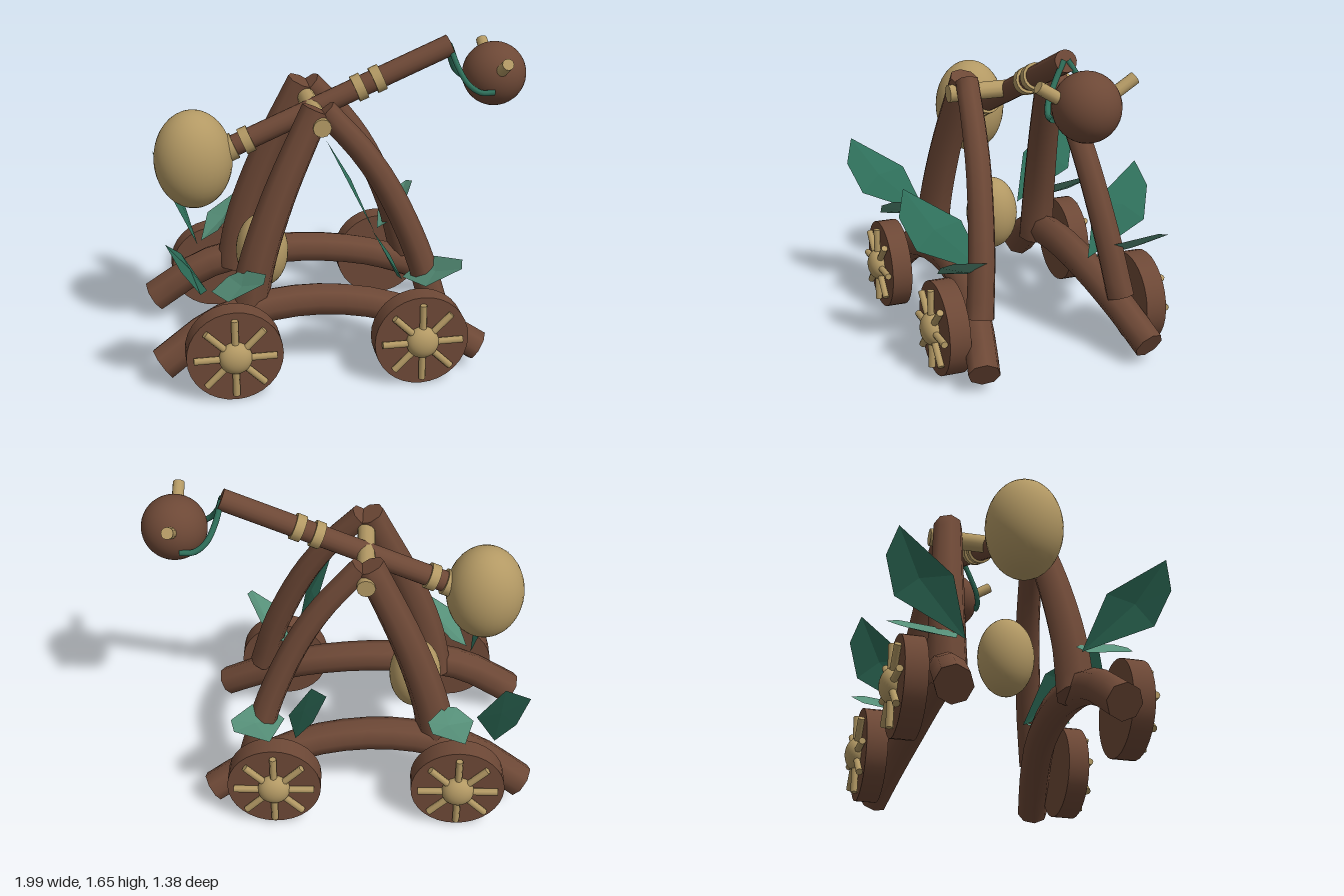
import * as THREE from 'three';
import { toCreasedNormals } from 'three/addons/utils/BufferGeometryUtils.js';

const V = (p) => new THREE.Vector3(...p);

export function createModel() {
  const model = new THREE.Group();
  model.name = 'catapult';
  const wood = new THREE.MeshStandardMaterial({ color: 0x6d4836, name: 'brown wood' });
  const tan = new THREE.MeshStandardMaterial({ color: 0xb39964, name: 'tan' });
  const darkLeaf = new THREE.MeshStandardMaterial({ color: 0x2f705b, name: 'dark green', side: THREE.DoubleSide });
  const lightLeaf = new THREE.MeshStandardMaterial({ color: 0x569079, name: 'light green', side: THREE.DoubleSide });

  const add = (name, geo, mat, parent = model) => {
    const mesh = new THREE.Mesh(geo, mat);
    mesh.name = name;
    parent.add(mesh);
    return mesh;
  };

  // Straight rod between two points
  const rod = (name, a, b, r, mat, parent = model, sides = 12) => {
    const from = V(a), to = V(b), dir = to.clone().sub(from);
    const mesh = add(name, new THREE.CylinderGeometry(r, r, dir.length(), sides), mat, parent);
    mesh.position.copy(from).add(to).multiplyScalar(0.5);
    mesh.quaternion.setFromUnitVectors(new THREE.Vector3(0, 1, 0), dir.normalize());
    return mesh;
  };

  // Capped, tapering branch: a cylinder bent along a curve
  const branch = (name, points, r0, r1, parent) => {
    const n = 14;
    const curve = new THREE.CatmullRomCurve3(points.map(V));
    const frames = curve.computeFrenetFrames(n);
    const geo = new THREE.CylinderGeometry(1, 1, 1, 8, n);
    const pos = geo.attributes.position;
    for (let i = 0; i < pos.count; i++) {
      const t = pos.getY(i) + 0.5, k = Math.round(t * n), r = r0 + (r1 - r0) * t;
      const p = curve.getPointAt(k / n)
        .addScaledVector(frames.normals[k], pos.getX(i) * r)
        .addScaledVector(frames.binormals[k], -pos.getZ(i) * r);
      pos.setXYZ(i, p.x, p.y, p.z);
    }
    return add(name, toCreasedNormals(geo, 1), wood, parent);
  };

  // Leaf: faceted fan with a slightly raised middle
  const leaf = (name, outline, lift, mat, parent) => {
    const pts = outline.map(V);
    const mid = pts.reduce((s, p) => s.add(p), new THREE.Vector3()).divideScalar(pts.length).add(V(lift));
    const tris = [];
    pts.forEach((p, i) => tris.push(mid, p, pts[(i + 1) % pts.length]));
    const geo = new THREE.BufferGeometry().setFromPoints(tris);
    geo.computeVertexNormals();
    return add(name, geo, mat, parent);
  };

  const ellipsoid = (name, c, s, mat, parent = model) => {
    const mesh = add(name, new THREE.SphereGeometry(1, 32, 20), mat, parent);
    mesh.position.set(...c);
    mesh.scale.set(...s);
    return mesh;
  };

  // Both sides of the frame, mirrored across z
  for (const side of [1, -1]) {
    const frame = new THREE.Group();
    frame.name = side > 0 ? 'frontFrame' : 'backFrame';
    frame.scale.z = side;
    model.add(frame);

    branch('sideRail', [[-0.95, 0.135, 0.39], [-0.65, 0.33, 0.355], [-0.25, 0.4, 0.33],
      [0.15, 0.355, 0.345], [0.45, 0.24, 0.395], [0.665, 0.115, 0.445]], 0.09, 0.08, frame);
    branch('thickLeg', [[-0.51, 0.33, 0.315], [-0.46, 0.6, 0.31], [-0.34, 0.95, 0.285],
      [-0.14, 1.385, 0.24]], 0.1, 0.076, frame);
    branch('thinLeg', [[-0.1, 1.375, 0.24], [0.08, 1.17, 0.27], [0.21, 0.97, 0.295],
      [0.36, 0.63, 0.34], [0.45, 0.31, 0.385]], 0.062, 0.073, frame);

    // Wheels with hub and crossed spokes
    for (const x of [-0.605, 0.335]) {
      const wheel = new THREE.Group();
      wheel.name = 'wheel';
      wheel.position.set(x, 0.247, 0);
      frame.add(wheel);
      rod('wheelDisc', [0, 0, 0.477], [0, 0, 0.585], 0.24, wood, wheel, 32);
      for (let i = 0; i < 4; i++) {
        const a = i * Math.PI / 4, c = Math.cos(a) * 0.205, s = Math.sin(a) * 0.205;
        rod('spoke', [-c, -s, 0.602], [c, s, 0.602], 0.018, tan, wheel, 8);
      }
      ellipsoid('hub', [0, 0, 0.6], [0.083, 0.083, 0.057], tan, wheel);
    }

    // A large and a small leaf above each wheel
    for (const x of [0, 0.98]) {
      const leaves = new THREE.Group();
      leaves.name = 'leaves';
      leaves.position.x = x;
      frame.add(leaves);
      leaf('largeLeaf', [[-0.71, 0.47, 0.28], [-0.765, 0.62, 0.63], [-0.855, 0.775, 0.69],
        [-0.92, 0.9, 0.645], [-0.835, 0.725, 0.37]], [0.015, 0.008, 0], darkLeaf, leaves);
      leaf('smallLeaf', [[-0.69, 0.48, 0.32], [-0.63, 0.54, 0.57], [-0.46, 0.64, 0.61],
        [-0.44, 0.66, 0.545], [-0.53, 0.6, 0.35], [-0.6, 0.545, 0.29]], [0.008, -0.018, 0], lightLeaf, leaves);
    }

    // Spike and vine on each side of the ball
    rod('ballSpike', [0.825, 1.46, 0.08], [0.825, 1.56, 0.24], 0.03, tan, frame);
    const vine = new THREE.CatmullRomCurve3([[0.585, 1.61, 0.01], [0.615, 1.51, 0.07], [0.66, 1.43, 0.12],
      [0.72, 1.39, 0.143], [0.79, 1.39, 0.15]].map(V));
    add('vine', new THREE.TubeGeometry(vine, 20, 0.015, 8), darkLeaf, frame);
  }

  // Pivot and throwing arm with bands
  rod('pivot', [-0.125, 1.315, -0.335], [-0.125, 1.315, 0.335], 0.046, tan);
  const armStart = [-0.56, 1.12, 0], armEnd = [0.59, 1.608, 0];
  rod('throwingArm', armStart, armEnd, 0.055, wood, model, 16);
  const onArm = (x) => [x, 1.12 + (x + 0.56) * (0.488 / 1.15), 0];
  for (const x of [-0.545, -0.46, 0.12, 0.215]) {
    rod('armBand', onArm(x - 0.023), onArm(x + 0.023), 0.069, tan, model, 16);
  }

  // Counterweight, cargo and ball
  ellipsoid('counterweight', [-0.733, 1.075, 0], [0.2, 0.257, 0.19], tan);
  ellipsoid('lowerWeight', [-0.393, 0.545, 0], [0.137, 0.2, 0.14], tan);
  ellipsoid('ball', [0.827, 1.445, 0], [0.165, 0.165, 0.16], wood);

  return model;
}
